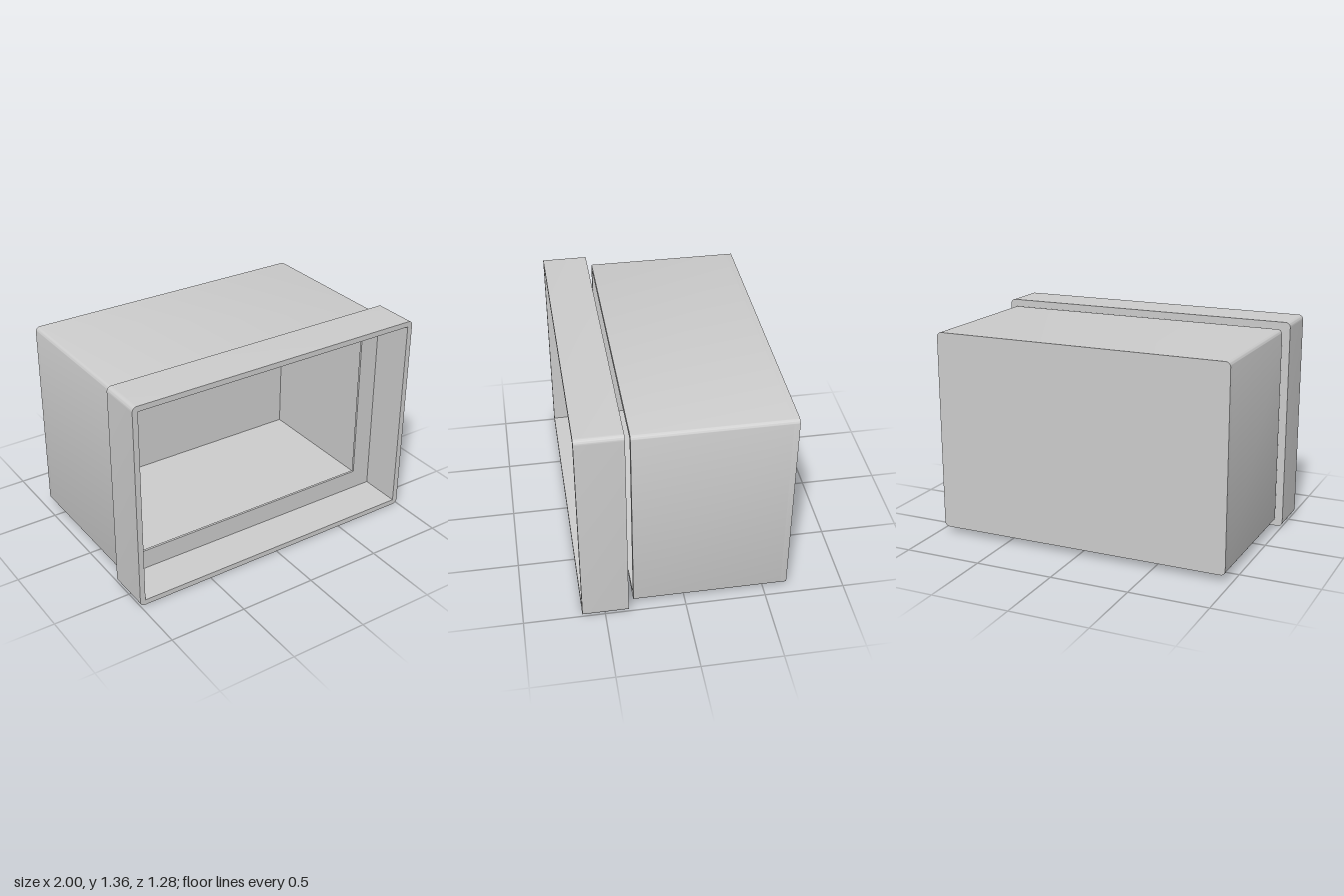
import * as THREE from 'three';
import { toCreasedNormals } from 'three/addons/utils/BufferGeometryUtils.js';

const MID_Y = 0.68; // height of the common centre line
const WALL = 0.035;

// Rectangle with rounded corners, centred on the origin
function roundedRect(halfW, halfH, r) {
  const s = new THREE.Shape();
  s.moveTo(-halfW + r, -halfH);
  s.absarc(halfW - r, -halfH + r, r, -Math.PI / 2, 0);
  s.absarc(halfW - r, halfH - r, r, 0, Math.PI / 2);
  s.absarc(-halfW + r, halfH - r, r, Math.PI / 2, Math.PI);
  s.absarc(-halfW + r, -halfH + r, r, Math.PI, Math.PI * 1.5);
  s.closePath();
  return s;
}

// Sharp-cornered opening
function opening(halfW, halfH) {
  return new THREE.Path([
    new THREE.Vector2(-halfW, -halfH), new THREE.Vector2(-halfW, halfH),
    new THREE.Vector2(halfW, halfH), new THREE.Vector2(halfW, -halfH),
  ]);
}

export function createModel() {
  const model = new THREE.Group();
  const grey = new THREE.MeshStandardMaterial({ color: 0xcccccc });

  // Slab or ring between two depths; hole is [halfW, halfH]
  function slab(name, parent, [halfW, halfH], zBack, zFront, hole) {
    const shape = roundedRect(halfW, halfH, 0.03);
    if (hole) shape.holes.push(opening(...hole));
    const geo = new THREE.ExtrudeGeometry(shape, {
      depth: zFront - zBack, bevelEnabled: false, curveSegments: 6,
    });
    const mesh = new THREE.Mesh(toCreasedNormals(geo, 0.6), grey);
    mesh.name = name;
    mesh.position.set(0, MID_Y, zBack);
    parent.add(mesh);
  }

  // Rear housing: hollow box open towards the front
  const housing = new THREE.Group();
  housing.name = 'rearHousing';
  const body = [0.96, 0.64];
  slab('housingWalls', housing, body, -0.64 + WALL, 0.32, [body[0] - WALL, body[1] - WALL]);
  slab('housingBack', housing, body, -0.64, -0.64 + WALL);

  // Front bezel: thin rim with a windowed plate at its back
  const bezel = new THREE.Group();
  bezel.name = 'frontBezel';
  const rim = [1, 0.68];
  slab('bezelRim', bezel, rim, 0.37, 0.64, [rim[0] - WALL, rim[1] - WALL]);
  slab('bezelPlate', bezel, rim, 0.355, 0.37, [0.835, 0.515]);

  model.add(housing, bezel);
  return model;
}
